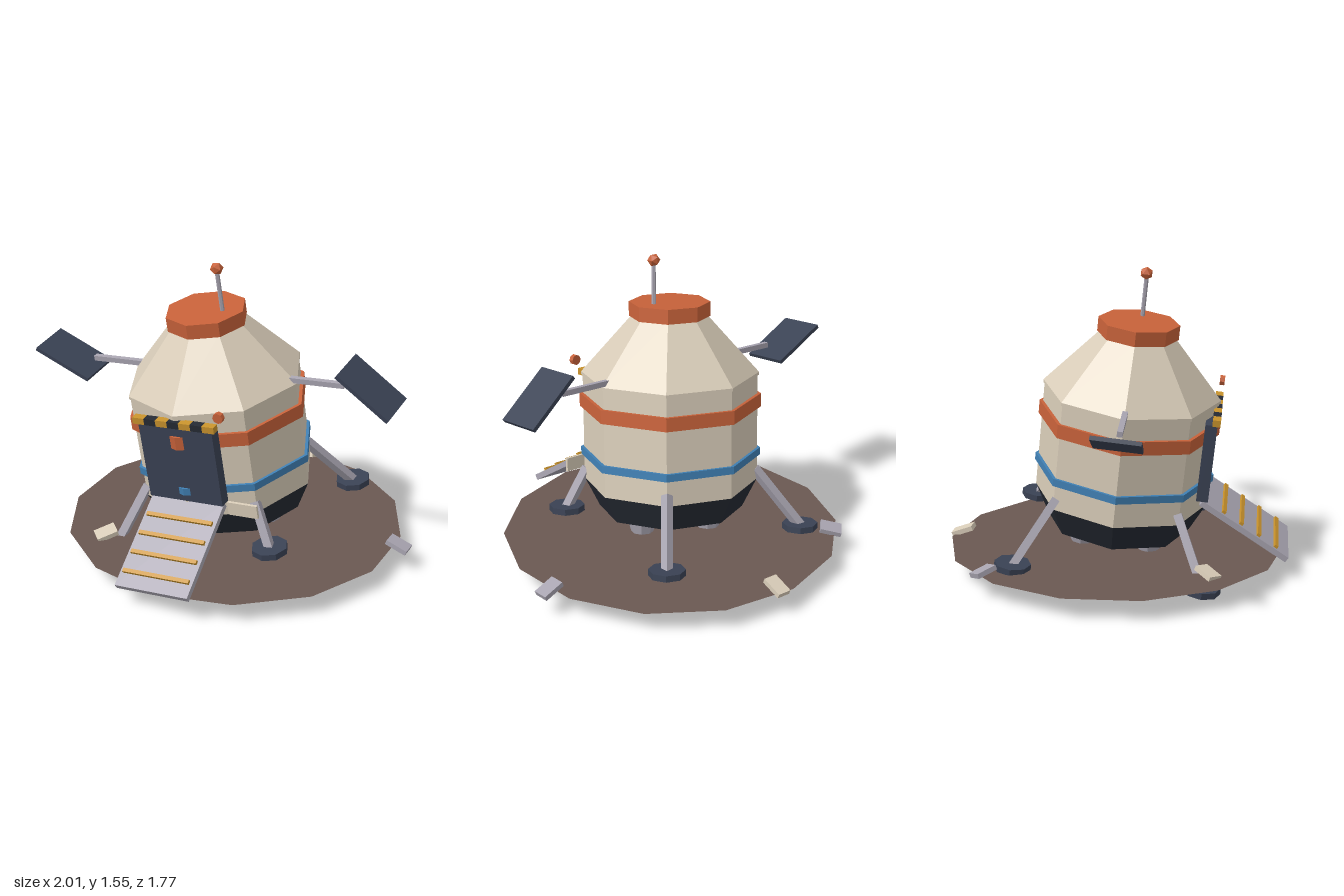
import * as THREE from 'three';

const mat = (name, color) => {
  const m = new THREE.MeshStandardMaterial({ color, flatShading: true });
  m.name = name;
  return m;
};

export function createModel() {
  const hull = mat('cream hull', 0xd8ccb8);
  const orange = mat('rust orange', 0xc8623a);
  const blue = mat('stripe blue', 0x4080b4);
  const dark = mat('dark underside', 0x252a33);
  const navy = mat('slate navy', 0x3a4254);
  const grey = mat('strut grey', 0xa8a4b0);
  const gold = mat('hazard gold', 0xc8922c);
  const soil = mat('brown soil', 0x6a5852);
  soil.side = THREE.DoubleSide;

  const model = new THREE.Group();
  const lander = new THREE.Group();
  lander.name = 'lander';
  lander.position.set(0.068, 0.105, -0.008);
  lander.rotation.set(0.105, 0, 0.092); // crash-landed tilt
  model.add(lander);

  const add = (name, geo, material, pos, rot = [0, 0, 0], parent = lander) => {
    const mesh = new THREE.Mesh(geo, material);
    mesh.name = name;
    mesh.position.set(...pos);
    mesh.rotation.set(...rot);
    parent.add(mesh);
    return mesh;
  };
  const box = (w, h, d) => new THREE.BoxGeometry(w, h, d);
  // eight-sided drum between two heights
  const drum = (name, material, y0, y1, r0, r1 = r0, x = 0, z = 0) =>
    add(name, new THREE.CylinderGeometry(r1, r0, y1 - y0, 8), material, [x, (y0 + y1) / 2, z]);
  // square beam between two points
  const beam = (name, a, b, size, material) => {
    const p = new THREE.Vector3(...a), q = new THREE.Vector3(...b);
    const m = add(name, box(size, p.distanceTo(q), size), material, p.clone().add(q).multiplyScalar(0.5).toArray());
    m.quaternion.setFromUnitVectors(new THREE.Vector3(0, 1, 0), q.sub(p).normalize());
  };

  // Ground disc
  add('ground', new THREE.CircleGeometry(0.87, 14, Math.PI / 2).rotateX(-Math.PI / 2), soil,
    [0.065, 0.105, -0.005], [0, 0, 0], model);

  // Hull stack
  drum('base', dark, 0.12, 0.27, 0.37, 0.445);
  drum('hull', hull, 0.27, 0.84, 0.445);
  drum('shoulderCone', hull, 0.84, 1.135, 0.452, 0.19);
  drum('shoulderRim', hull, 0.825, 0.84, 0.452);
  drum('topCap', orange, 1.13, 1.204, 0.205);
  drum('orangeBand', orange, 0.658, 0.728, 0.463);
  drum('blueBand', blue, 0.402, 0.44, 0.461);

  // Antenna
  add('antennaRod', new THREE.CylinderGeometry(0.011, 0.011, 0.23, 6), grey, [0.098, 1.31, 0.008]);
  add('antennaBall', new THREE.IcosahedronGeometry(0.033, 0), orange, [0.098, 1.425, 0.006]);

  // Engine nozzles
  for (let i = 0; i < 3; i++) {
    const a = (i * Math.PI * 2) / 3;
    drum('nozzle', grey, 0.03, 0.15, 0.057, 0.09, 0.2 * Math.cos(a), 0.2 * Math.sin(a));
  }

  // Legs and foot pads; the front left one is buckled upwards
  const feet = [[-0.465, 0.015, 0.47], [0.39, 0.11, 0.375], [-0.475, 0.015, -0.475], [0.465, 0.017, -0.475]];
  for (const [x, y, z] of feet) {
    beam('leg', [0.305 * Math.sign(x), 0.325, 0.305 * Math.sign(z)], [x, y, z], 0.042, grey);
    drum('footPad', navy, y - 0.016, y + 0.016, 0.092, 0.092, x, z);
  }

  // Door, hazard strip, lamp and loose panel
  add('door', box(0.405, 0.41, 0.06), navy, [0, 0.57, 0.418]);
  for (let i = 0; i < 7; i++) {
    add('hazardBlock', box(0.064, 0.034, 0.04), i % 2 ? dark : gold, [(i - 3) * 0.064, 0.795, 0.442]);
  }
  add('lamp', new THREE.CylinderGeometry(0.027, 0.027, 0.025, 8), orange, [0.254, 0.865, 0.448], [Math.PI / 2, 0, 0]);
  add('loosePanel', box(0.16, 0.07, 0.015), hull, [0.285, 0.33, 0.4]);

  // Ramp with rungs
  const ramp = new THREE.Group();
  ramp.name = 'ramp';
  ramp.position.set(0, 0.355, 0.415);
  ramp.rotation.x = Math.atan2(0.25, 0.465);
  lander.add(ramp);
  add('rampPlate', box(0.4, 0.03, 0.528), grey, [0, 0, 0.264], [0, 0, 0], ramp);
  for (let i = 0; i < 4; i++) {
    add('rung', box(0.365, 0.02, 0.02), gold, [0, 0.02, 0.125 + i * 0.107], [0, 0, 0], ramp);
  }

  // Solar arms and panels
  for (const [s, tilt] of [[-1, -0.48], [1, -0.72]]) {
    add('solarArm', box(0.3, 0.027, 0.027), grey, [s * 0.555, 0.86, 0]);
    add('solarPanel', box(0.325, 0.02, 0.235), navy, [s * 0.842, 0.86, 0], [0, 0, tilt]);
  }

  // Scattered debris
  const debris = [
    [hull, [0.13, 0.125, -0.825], [-0.35, -0.08, 0], [0.075, 0.025, 0.115]],
    [grey, [-0.5, 0.125, -0.615], [-0.3, 0.75, 0], [0.08, 0.025, 0.11]],
    [grey, [0.945, 0.125, -0.085], [0, 0, -0.35], [0.115, 0.025, 0.08]],
    [hull, [-0.43, 0.125, 0.485], [0.2, 0.8, 0.15], [0.11, 0.025, 0.08]],
  ];
  for (const [m, p, r, s] of debris) add('debris', box(...s), m, p, r, model);

  return model;
}
